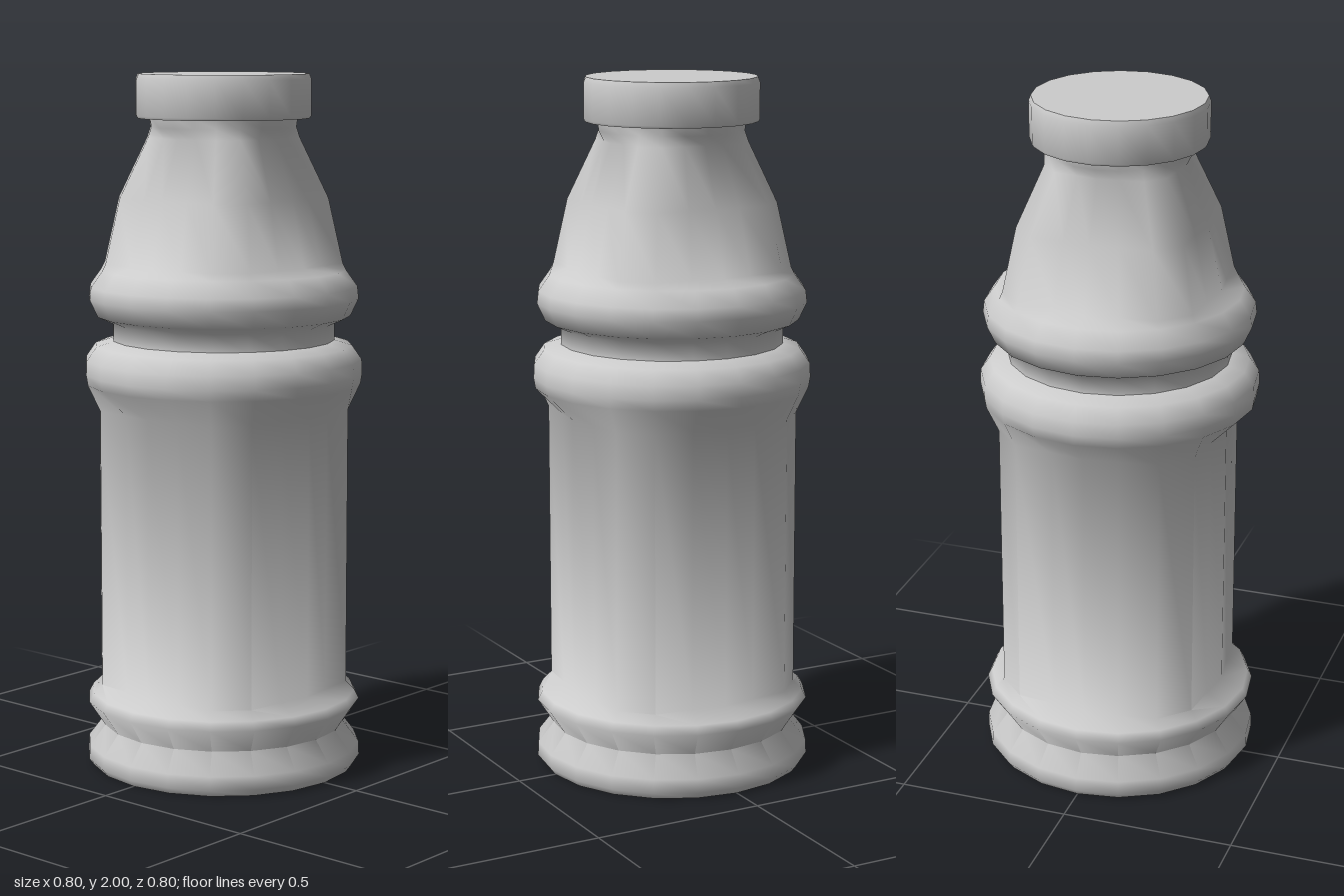
import * as THREE from 'three';
import { mergeVertices, toCreasedNormals } from 'three/addons/utils/BufferGeometryUtils.js';

const SIDES = 20;
const material = new THREE.MeshStandardMaterial({ color: 0xcccccc });

// Lathe whose rings may have a second radius on the four diagonal ribs.
// Each profile row is [y, radius, ribRadius].
function ribbedLathe(rows) {
  const points = rows.map(([y, r]) => new THREE.Vector2(r, y));
  const geometry = new THREE.LatheGeometry(points, SIDES);
  const pos = geometry.attributes.position;
  for (let i = 0; i < pos.count; i++) {
    const [, r, rib = r] = rows[i % rows.length];
    const side = Math.floor(i / rows.length) % 5;
    if (side !== 2 && side !== 3) continue;
    pos.setX(i, pos.getX(i) * rib / r);
    pos.setZ(i, pos.getZ(i) * rib / r);
  }
  // Weld the seam so shading stays smooth all around
  geometry.deleteAttribute('uv');
  geometry.deleteAttribute('normal');
  const welded = mergeVertices(geometry);
  welded.computeVertexNormals();
  return welded;
}

function addPart(group, name, geometry) {
  const mesh = new THREE.Mesh(geometry, material);
  mesh.name = name;
  group.add(mesh);
  return mesh;
}

export function createModel() {
  const group = new THREE.Group();
  group.name = 'bottle';

  // Body: double base ring, panelled grip, two bulging rings, panelled shoulder, neck
  addPart(group, 'body', toCreasedNormals(ribbedLathe([
    [0, 0.385], [0.02, 0.4], [0.06, 0.398], [0.12, 0.352], [0.19, 0.398], [0.215, 0.385],
    [0.24, 0.32, 0.36], [1.045, 0.32, 0.36],
    [1.12, 0.395], [1.15, 0.4], [1.19, 0.398], [1.23, 0.37], [1.245, 0.32],
    [1.295, 0.32], [1.315, 0.365], [1.365, 0.388], [1.40, 0.384], [1.445, 0.352],
    [1.465, 0.3, 0.342], [1.65, 0.257, 0.3], [1.82, 0.193, 0.218],
    [1.85, 0.208], [1.88, 0.212],
  ]), 1.25));

  // Flat underside
  const base = addPart(group, 'base', new THREE.CircleGeometry(0.385, SIDES));
  base.rotation.x = Math.PI / 2;

  // Screw cap with a small bevel
  addPart(group, 'cap', toCreasedNormals(ribbedLathe([
    [1.875, 0.2], [1.875, 0.246], [1.882, 0.25], [1.985, 0.25], [2, 0.244],
  ]), 0.6));
  const capTop = addPart(group, 'capTop', new THREE.CircleGeometry(0.244, SIDES));
  capTop.rotation.x = -Math.PI / 2;
  capTop.position.y = 2;

  return group;
}
